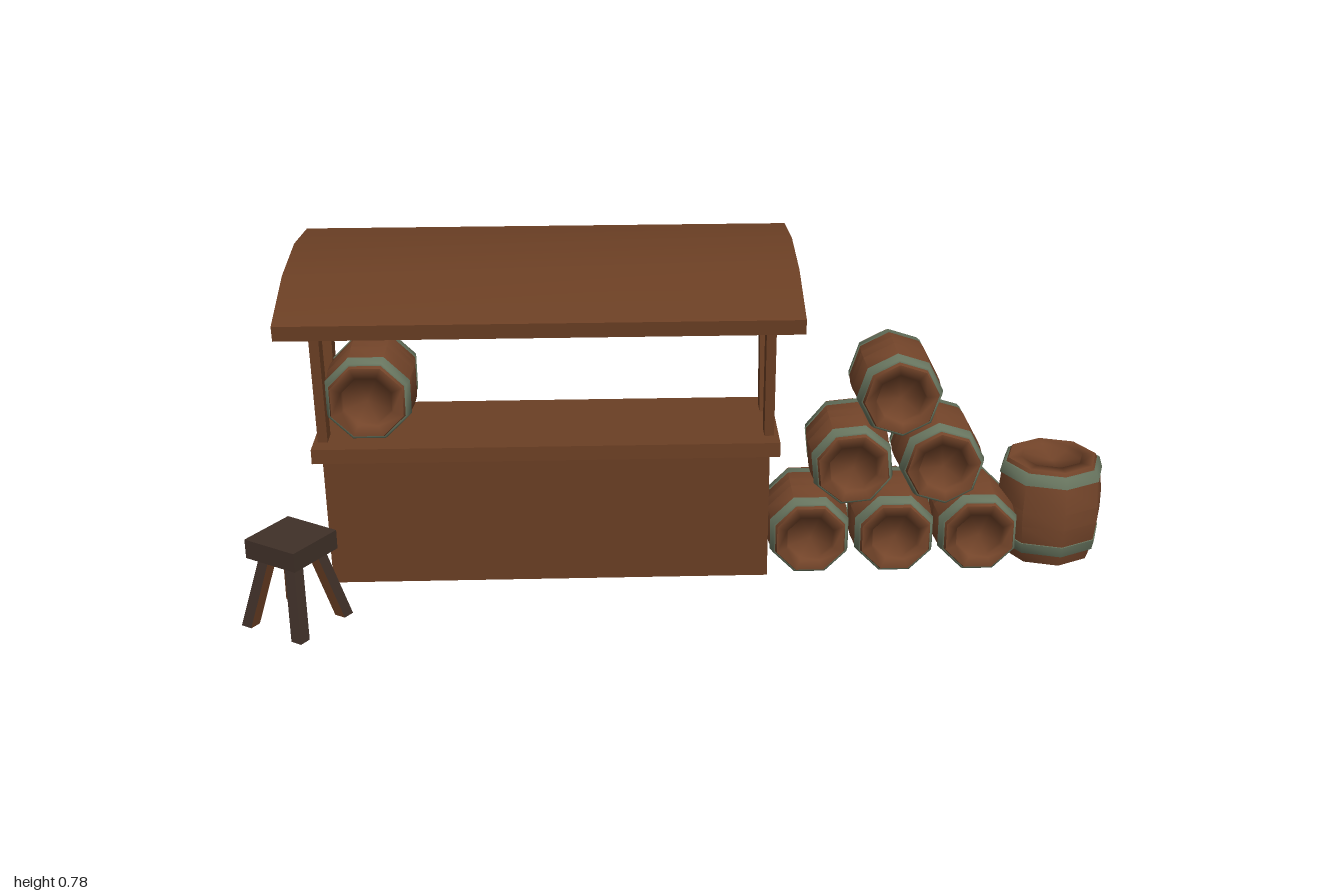
import * as THREE from 'three';
import { toCreasedNormals } from 'three/addons/utils/BufferGeometryUtils.js';

const mat = (name, color) => {
  const m = new THREE.MeshStandardMaterial({ color });
  m.name = name;
  return m;
};

export function createModel() {
  const wood = mat('stallWood', 0x6b3f24);
  const shellWood = mat('shellWood', 0x6b3f24);
  shellWood.side = THREE.DoubleSide;
  const barrelWood = mat('barrelWood', 0x74452a);
  const hoopMetal = mat('hoopMetal', 0x68755f);
  const darkWood = mat('darkWood', 0x3f3028);

  const model = new THREE.Group();
  model.name = 'marketStall';

  const add = (parent, name, geometry, material) => {
    const mesh = new THREE.Mesh(geometry, material);
    mesh.name = name;
    parent.add(mesh);
    return mesh;
  };

  // Slanted post with level ends, running from point a up to point b
  const slantedPost = (w, d, a, b) => {
    const g = new THREE.BoxGeometry(w, 1, d);
    const p = g.attributes.position;
    for (let i = 0; i < p.count; i++) {
      const t = p.getY(i) + 0.5;
      p.setXYZ(i, p.getX(i) + a[0] + (b[0] - a[0]) * t,
        a[1] + (b[1] - a[1]) * t, p.getZ(i) + a[2] + (b[2] - a[2]) * t);
    }
    g.computeVertexNormals();
    return g;
  };

  // Stall: body tapering toward the ground and open underneath
  const stall = new THREE.Group();
  stall.name = 'stall';
  model.add(stall);
  const body = new THREE.BoxGeometry(1.005, 0.317, 0.255);
  const bp = body.attributes.position;
  for (let i = 0; i < bp.count; i++) if (bp.getY(i) < 0) bp.setZ(i, bp.getZ(i) * 0.83);
  const index = Array.from(body.index.array);
  index.splice(18, 6);
  body.setIndex(index);
  body.clearGroups();
  body.computeVertexNormals();
  add(stall, 'counterBody', body, shellWood).position.set(-0.322, 0.1765, -0.042);
  add(stall, 'counterTop', new THREE.BoxGeometry(1.05, 0.034, 0.283), wood)
    .position.set(-0.322, 0.35, -0.042);

  // Roof posts
  for (const x of [-0.826, 0.181]) {
    add(stall, 'frontPost', slantedPost(0.022, 0.048, [x, 0.36, 0.032], [x, 0.735, 0.063]), wood);
    add(stall, 'backPost', slantedPost(0.022, 0.048, [x, 0.36, -0.115], [x, 0.75, -0.147]), wood);
  }

  // Curved roof, drawn as (z, y) and extruded along x
  const roofShape = new THREE.Shape([
    [0.232, 0.673], [0.04, 0.728], [-0.13, 0.743], [-0.322, 0.722],
    [-0.319, 0.756], [-0.13, 0.777], [0.055, 0.761], [0.236, 0.707],
  ].map(([z, y]) => new THREE.Vector2(z, y)));
  const roof = new THREE.ExtrudeGeometry(roofShape, { depth: 1.127, bevelEnabled: false });
  roof.rotateY(-Math.PI / 2).translate(0.241, 0, 0);
  add(stall, 'roof', toCreasedNormals(roof, 0.5), wood);

  // Barrel parts along y, eight sides, with unit radius
  const lathe = (pts) => toCreasedNormals(
    new THREE.LatheGeometry(pts.map(([r, y]) => new THREE.Vector2(r, y)), 8), 0.9);
  const staves = lathe([[0.83, -0.12], [0.91, -0.09], [0.955, -0.065], [1, -0.02],
    [1, 0.02], [0.95, 0.085], [0.87, 0.11], [0.83, 0.12]]);
  const head = lathe([[0.83, 0.12], [0.58, 0.12], [0.55, 0.107], [0, 0.107]]);
  const foot = lathe([[0, -0.107], [0.55, -0.107], [0.58, -0.12], [0.83, -0.12]]);
  const hoops = [
    lathe([[0.88, -0.091], [0.945, -0.091], [0.985, -0.065], [0.93, -0.065]]),
    lathe([[0.93, 0.085], [0.98, 0.085], [0.915, 0.111], [0.85, 0.111]]),
  ];
  const barrel = (name, radius, turn) => {
    const g = new THREE.Group();
    g.name = name;
    add(g, 'staves', staves, barrelWood);
    add(g, 'head', head, barrelWood);
    add(g, 'foot', foot, barrelWood);
    hoops.forEach((h) => add(g, 'hoop', h, hoopMetal));
    g.children.forEach((c) => { c.rotation.y = turn; c.scale.set(radius, 1, radius); });
    model.add(g);
    return g;
  };

  // Lying barrels: x, y and turn about the axis
  const flat = Math.PI / 8;
  [[0.28, 0.11, flat], [0.478, 0.11, flat], [0.674, 0.11, flat],
    [0.375, 0.285, flat + 0.1], [0.582, 0.285, 0.1], [0.478, 0.455, 0.08],
    [-0.72, 0.467, flat]].forEach(([x, y, turn], i) => {
    const b = barrel(i < 6 ? 'stackedBarrel' : 'counterBarrel', i < 6 ? 0.101 : 0.105, turn);
    b.rotation.x = Math.PI / 2;
    b.position.set(x, y, -0.05);
  });
  barrel('standingBarrel', 0.128, 0.08).position.set(0.868, 0.126, -0.085);

  // Stool, with dark outer faces and lighter inner leg faces
  const stool = new THREE.Group();
  stool.name = 'stool';
  stool.position.set(-0.888, 0, 0.205);
  stool.rotation.y = -0.58;
  model.add(stool);
  add(stool, 'seat', new THREE.BoxGeometry(0.141, 0.045, 0.141), darkWood).position.y = 0.1875;
  for (const sx of [-1, 1]) for (const sz of [-1, 1]) {
    const faces = [sx > 0, sx < 0, true, true, sz > 0, sz < 0]
      .map((outer) => (outer ? darkWood : wood));
    add(stool, 'stoolLeg', slantedPost(0.028, 0.028,
      [sx * 0.073, 0, sz * 0.073], [sx * 0.036, 0.168, sz * 0.036]), faces);
  }
  return model;
}
